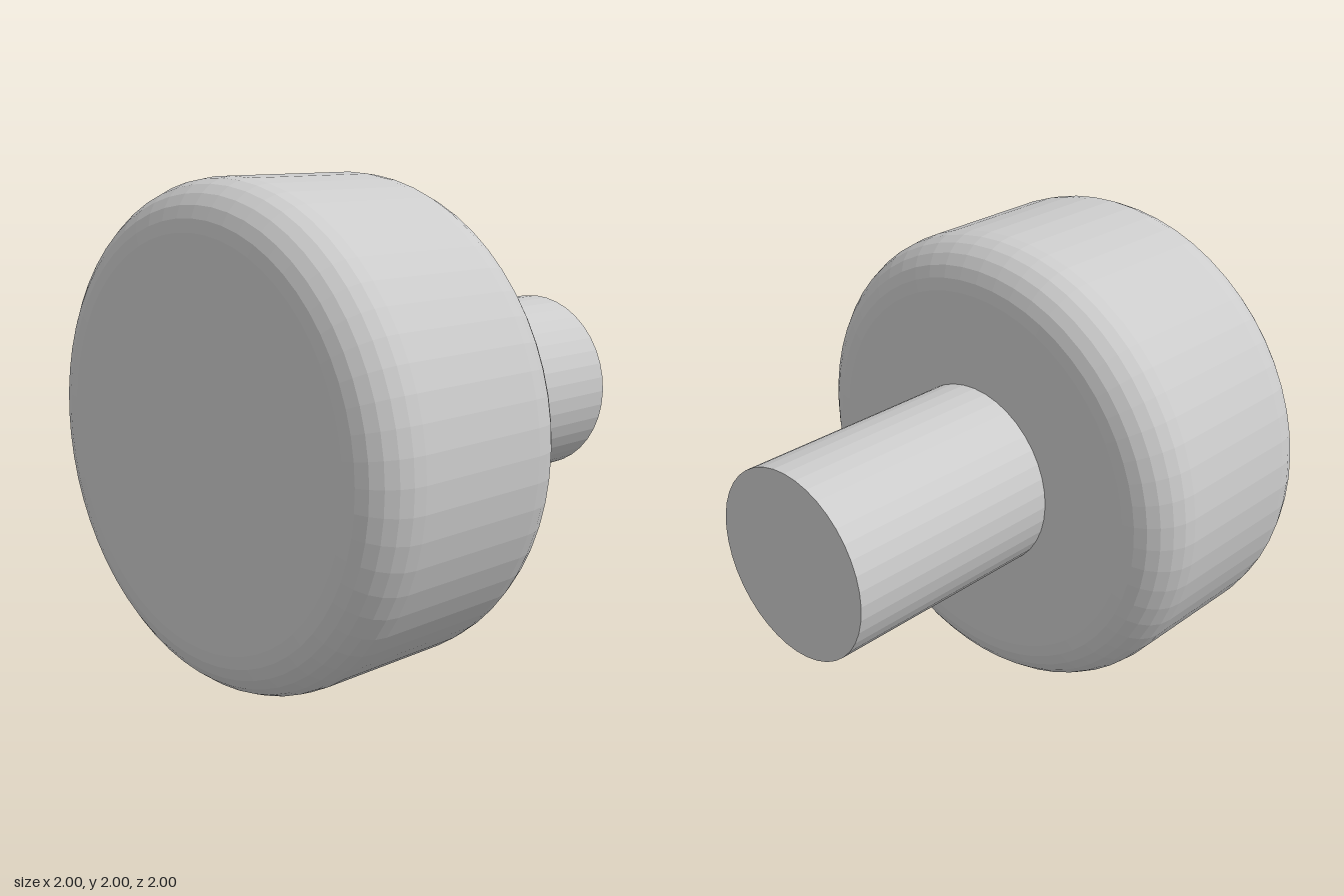
import * as THREE from 'three';

const material = new THREE.MeshStandardMaterial({ color: 0xcccccc, flatShading: true });

// Quarter-circle points of a rounded rim, from angle a to a + 90 degrees
function rim(cx, cy, radius, a, steps = 6) {
  return Array.from({ length: steps + 1 }, (_, i) => {
    const t = a + (i / steps) * Math.PI / 2;
    return new THREE.Vector2(cx + radius * Math.cos(t), cy + radius * Math.sin(t));
  });
}

export function createModel() {
  const group = new THREE.Group();
  group.name = 'knob';
  const add = (name, geometry, z) => {
    const mesh = new THREE.Mesh(geometry.rotateX(Math.PI / 2), material);
    mesh.name = name;
    mesh.position.set(0, 1, z);
    group.add(mesh);
  };

  // Round head with filleted front and back rims, turned to face +z
  const fillet = 0.2, depth = 1;
  const profile = [
    new THREE.Vector2(0, 0),
    ...rim(1 - fillet, fillet, fillet, -Math.PI / 2),
    ...rim(1 - fillet, depth - fillet, fillet, 0),
    new THREE.Vector2(0, depth),
  ];
  add('head', new THREE.LatheGeometry(profile, 60), 0);

  // Straight shaft at the back, sunk slightly into the head
  const length = 1.05;
  add('shaft', new THREE.CylinderGeometry(0.4, 0.4, length, 40), -1 + length / 2);

  return group;
}
